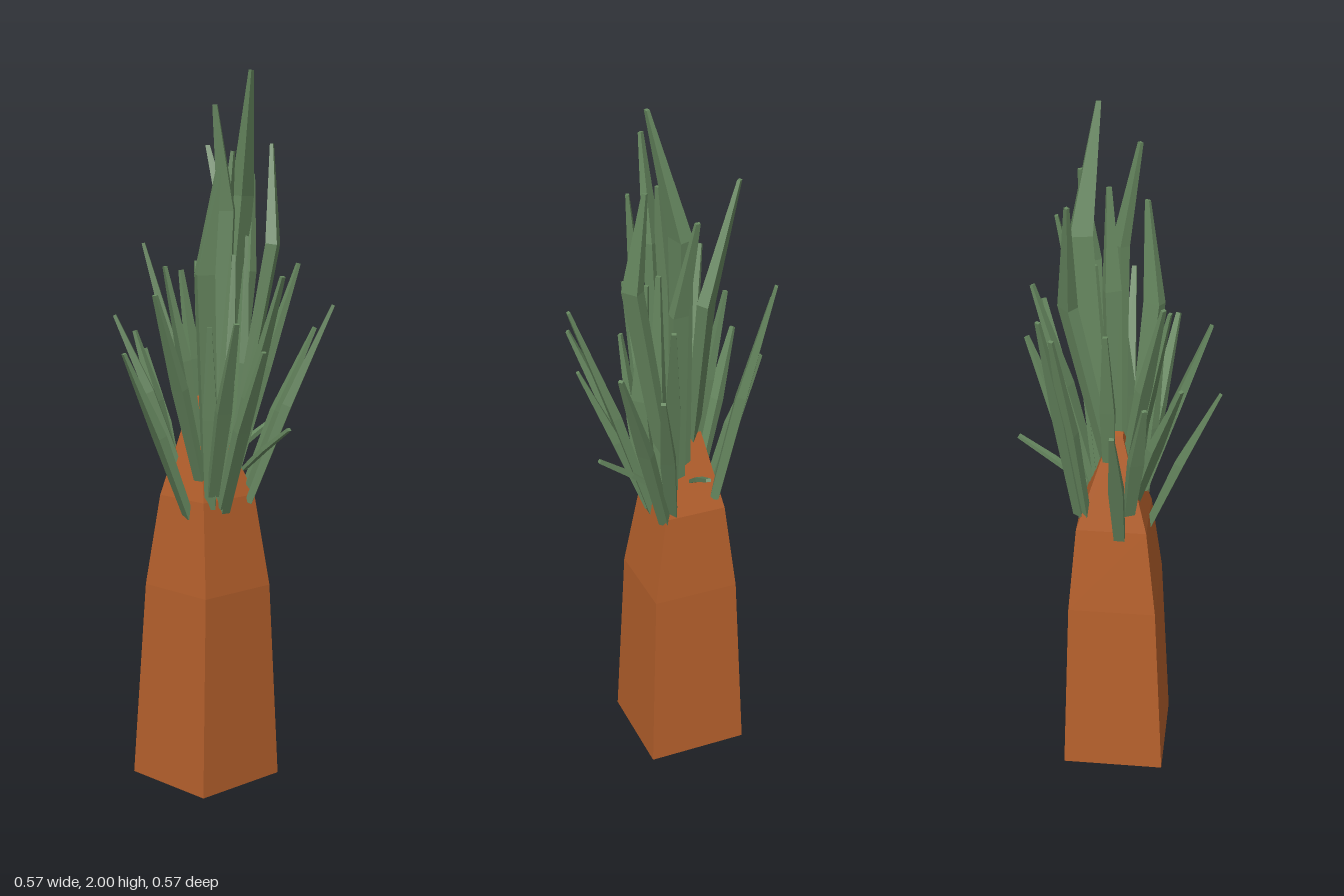
import * as THREE from 'three';

// Joins four-cornered cross-sections (listed bottom to top) into a closed, faceted solid.
function loft(rings) {
  const pos = [];
  const quad = (a, b, c, d) => [a, b, c, a, c, d].forEach((p) => pos.push(...p));
  for (let r = 0; r < rings.length - 1; r++) {
    for (let i = 0; i < 4; i++) {
      const j = (i + 1) % 4;
      quad(rings[r][i], rings[r][j], rings[r + 1][j], rings[r + 1][i]);
    }
  }
  const top = rings[rings.length - 1];
  quad(top[0], top[1], top[2], top[3]);
  quad(rings[0][3], rings[0][2], rings[0][1], rings[0][0]);
  const g = new THREE.BufferGeometry();
  g.setAttribute('position', new THREE.Float32BufferAttribute(pos, 3));
  g.computeVertexNormals();
  return g;
}

// Blade with a bend: base, middle and tip points, with a width at the middle.
function leafGeometry(base, mid, tip, width) {
  const [a, b, c] = [base, mid, tip].map((p) => new THREE.Vector3(...p));
  const dir = c.clone().sub(a).normalize();
  const side = new THREE.Vector3(0, 1, 0).cross(dir).normalize();
  const section = (p, d, w, t) => {
    const n = d.clone().normalize().cross(side).normalize();
    return [[-1, -1], [1, -1], [1, 1], [-1, 1]].map(([u, v]) =>
      p.clone().addScaledVector(side, u * w / 2).addScaledVector(n, v * t / 2).toArray());
  };
  return loft([
    section(a, b.clone().sub(a), width * 0.75, width * 0.5),
    section(b, dir, width, width * 0.65),
    section(c, c.clone().sub(b), 0.013, 0.009),
  ]);
}

export function createModel() {
  const model = new THREE.Group();
  const bark = new THREE.MeshStandardMaterial({ color: 0xb5602c, flatShading: true });
  bark.name = 'orange bark';
  const green = new THREE.MeshStandardMaterial({ color: 0x66875f, flatShading: true });
  green.name = 'leaf green';

  // Square trunk narrowing to a blunt point: y, x from, x to, z from, z to
  const trunk = new THREE.Mesh(loft([
    [0, -0.148, 0.148, -0.18, 0.115],
    [0.56, -0.12, 0.13, -0.155, 0.095],
    [0.82, -0.09, 0.108, -0.125, 0.055],
    [1.1, -0.018, 0.018, -0.068, -0.04],
  ].map(([y, x0, x1, z0, z1]) => [[x0, y, z1], [x1, y, z1], [x1, y, z0], [x0, y, z0]])), bark);
  trunk.name = 'trunk';
  model.add(trunk);

  const leaves = new THREE.Group();
  leaves.name = 'leaves';
  model.add(leaves);
  const addLeaf = (name, base, mid, tip, width) => {
    const leaf = new THREE.Mesh(leafGeometry(base, mid, tip, width), green);
    leaf.name = name;
    leaves.add(leaf);
  };

  // Outer leaves: base and tip, bending slightly at the middle
  [
    [[-0.015, 0.8, -0.125], [-0.01, 1.22, -0.28]],
    [[-0.04, 0.88, -0.115], [-0.09, 1.28, -0.23]],
    [[-0.05, 0.9, -0.09], [-0.183, 1.33, -0.208]],
    [[0.085, 0.85, -0.1], [0.15, 1.47, -0.23]],
    [[0.1, 0.86, -0.1], [0.183, 1.52, -0.225]],
    [[-0.085, 0.77, -0.01], [-0.28, 1.24, -0.055]],
    [[-0.07, 0.88, 0.02], [-0.247, 1.4, 0.035]],
    [[-0.06, 0.84, 0.06], [-0.145, 1.33, 0.24]],
    [[-0.02, 0.8, 0.06], [-0.05, 1.25, 0.247]],
    [[-0.01, 0.78, 0.05], [-0.015, 1.45, 0.28]],
    [[0.06, 0.9, 0.06], [0.063, 1.03, 0.232]],
    [[0.09, 0.8, 0.05], [0.237, 1.36, 0.232]],
    [[0.09, 0.82, 0.03], [0.272, 1.29, 0.13]],
    [[0.07, 0.9, 0.02], [0.245, 1.47, 0.09]],
    [[0.09, 0.92, -0.03], [0.283, 1.04, 0.006]],
    [[-0.03, 1.0, -0.05], [-0.13, 1.53, -0.145]],
    [[-0.04, 0.95, -0.01], [-0.14, 1.47, -0.045]],
    [[-0.06, 0.8, 0.05], [-0.11, 1.31, 0.1]],
    [[0.02, 0.95, -0.06], [0.02, 1.45, -0.155]],
  ].forEach(([base, tip]) => {
    const mid = base.map((v, k) => v + (tip[k] - v) * (k === 1 ? 0.5 : 0.46));
    const short = tip[1] < 1.1;
    addLeaf('outerLeaf', base, mid, tip, short ? 0.02 : 0.04);
  });

  // Tall central leaves with a marked bend: base, middle, tip, width
  [
    [[0.04, 0.95, -0.02], [0.1, 1.66, 0.01], [0.06, 1.995, 0.085], 0.06],
    [[0, 0.95, 0.02], [0, 1.62, 0.05], [-0.05, 1.9, 0.058], 0.045],
    [[0.05, 0.9, 0.02], [0.09, 1.53, 0.14], [0.112, 1.8, 0.113], 0.05],
    [[0.02, 1, -0.06], [0.13, 1.48, -0.05], [0.115, 1.8, -0.145], 0.05],
    [[-0.03, 0.8, 0.02], [-0.09, 1.45, 0.06], [-0.067, 1.73, 0.09], 0.05],
    [[0.01, 0.92, 0], [0.02, 1.5, 0.02], [0.03, 1.78, 0.045], 0.045],
    [[0.06, 0.9, 0], [0.11, 1.45, 0.02], [0.16, 1.72, -0.01], 0.045],
    [[-0.02, 0.77, 0.04], [-0.015, 1.15, 0.08], [0.01, 1.5, 0.07], 0.045],
    [[0.05, 0.9, 0.04], [0.06, 1.2, 0.06], [0.07, 1.55, 0.06], 0.04],
  ].forEach((p) => addLeaf('tallLeaf', ...p));

  return model;
}
